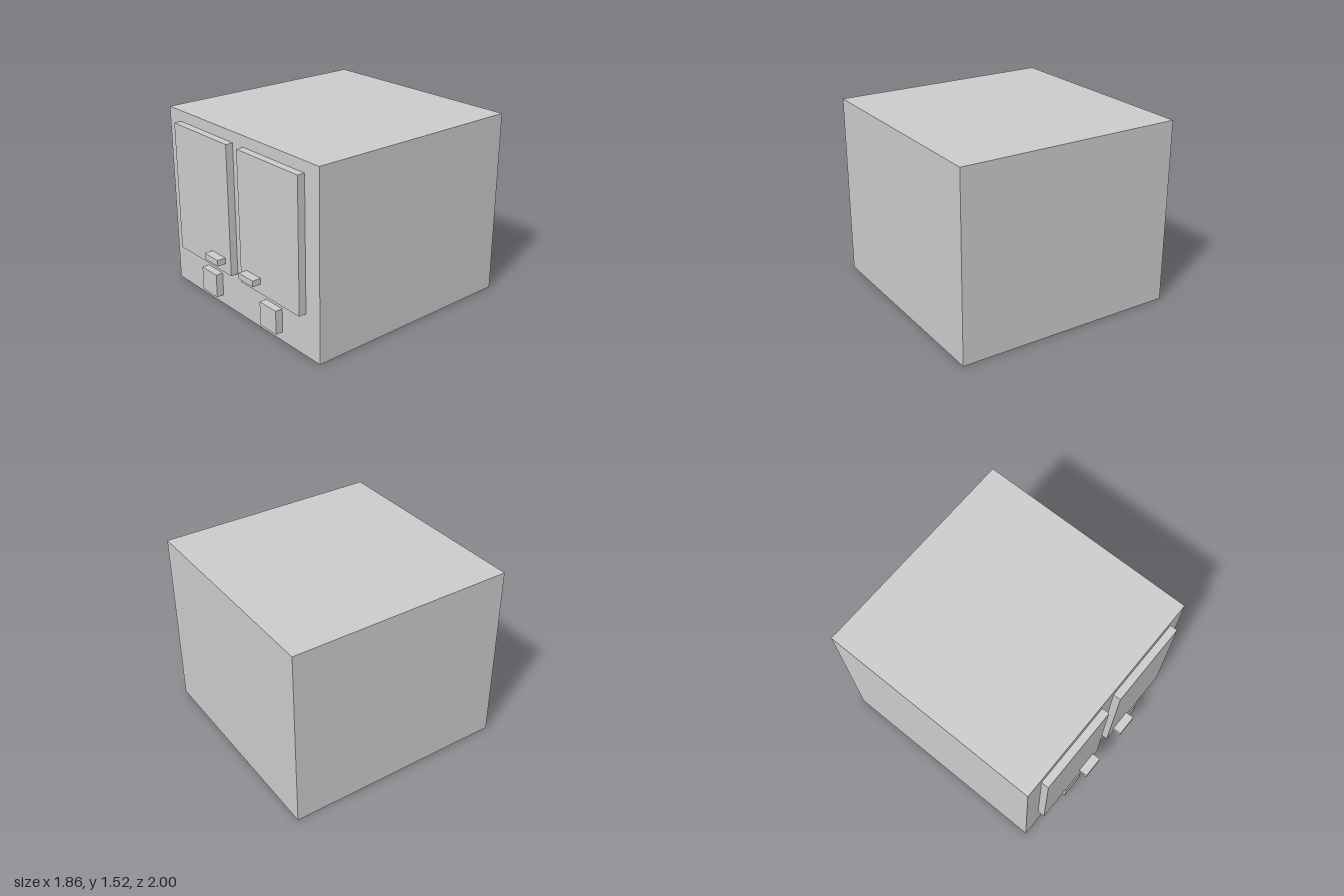
import * as THREE from 'three';

const material = new THREE.MeshStandardMaterial({ color: 0xcccccc });

// Box geometry from its min and max corners
function span(x0, x1, y0, y1, z0, z1) {
  return new THREE.BoxGeometry(x1 - x0, y1 - y0, z1 - z0)
    .translate((x0 + x1) / 2, (y0 + y1) / 2, (z0 + z1) / 2);
}

// Removes the bottom face; inward turns the remaining faces to the inside
function openBottom(geometry, inward) {
  const index = Array.from(geometry.index.array);
  index.splice(18, 6);
  if (inward) index.reverse();
  geometry.setIndex(index);
  geometry.clearGroups();
  if (inward) {
    const n = geometry.attributes.normal;
    for (let i = 0; i < n.count; i++) n.setXYZ(i, -n.getX(i), -n.getY(i), -n.getZ(i));
  }
  return geometry;
}

export function createModel() {
  const group = new THREE.Group();
  const add = (name, geometry) => {
    const mesh = new THREE.Mesh(geometry, material);
    mesh.name = name;
    group.add(mesh);
  };

  const W = 0.93, H = 1.52, back = -1, front = 0.865;
  const cav = { x0: 0.05, x1: 0.763, top: 1.35, z0: -0.825, z1: 0.69 };

  // Outer shell of the cabinet
  add('cabinet', openBottom(span(-W, W, 0, H, back, front), false));

  // Bottom rim around the two open compartments (shape y becomes z, facing down)
  const rect = (T, x0, x1, z0, z1) => new T([
    new THREE.Vector2(x0, z0), new THREE.Vector2(x1, z0),
    new THREE.Vector2(x1, z1), new THREE.Vector2(x0, z1),
  ]);
  const rim = rect(THREE.Shape, -W, W, back, front);
  rim.holes.push(
    rect(THREE.Path, cav.x0, cav.x1, cav.z0, cav.z1),
    rect(THREE.Path, -cav.x1, -cav.x0, cav.z0, cav.z1));
  add('bottomRim', new THREE.ShapeGeometry(rim).rotateX(Math.PI / 2));

  // Compartment, door, handle and foot block on each side
  for (const [side, s] of [['left', 1], ['right', -1]]) {
    const mirrored = (x0, x1, ...rest) =>
      s > 0 ? span(x0, x1, ...rest) : span(-x1, -x0, ...rest);
    add(side + 'Compartment',
      openBottom(mirrored(cav.x0, cav.x1, 0, cav.top, cav.z0, cav.z1), true));
    add(side + 'Door', mirrored(0.067, 0.775, 0.35, 1.43, front, 0.927));
    add(side + 'Handle', mirrored(0.14, 0.318, 0.43, 0.48, 0.927, 1));
    // The lower blocks sit very slightly towards +x
    add(side + 'LowerBlock',
      mirrored(0.29 + s * 0.008, 0.487 + s * 0.008, 0.077, 0.275, front, 0.927));
  }
  return group;
}
